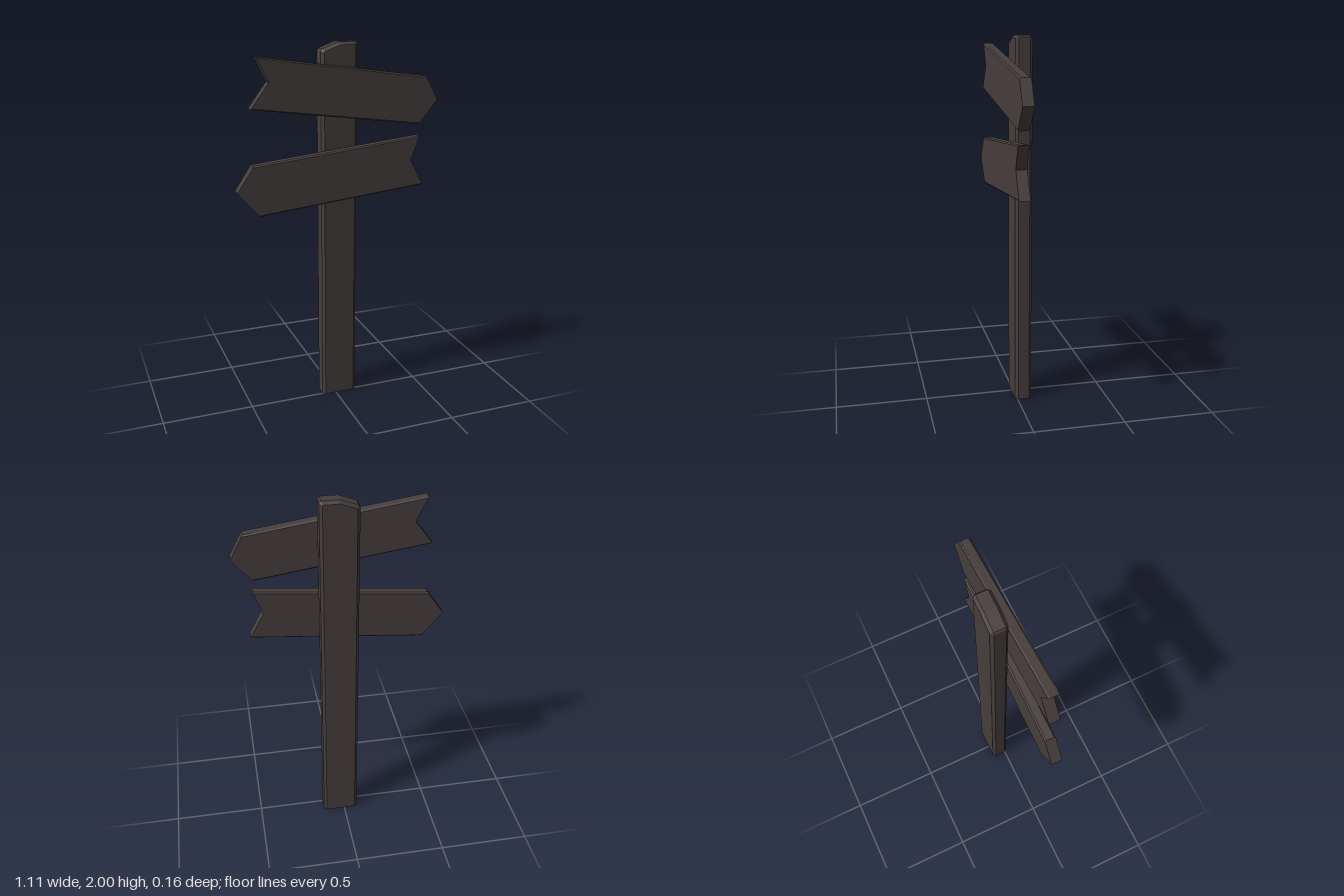
import * as THREE from 'three';

const darkWood = new THREE.MeshStandardMaterial({ color: 0x463e3d });

// Chamfered slab cut from an outline, centred on z = 0
function slab(points, thickness, chamfer) {
  const shape = new THREE.Shape(points.map(([x, y]) => new THREE.Vector2(x, y)));
  const geo = new THREE.ExtrudeGeometry(shape, {
    depth: thickness - 2 * chamfer, bevelEnabled: true, bevelSegments: 1,
    bevelSize: chamfer, bevelOffset: -chamfer, bevelThickness: chamfer,
  });
  return geo.translate(0, 0, chamfer - thickness / 2);
}

// Move each vertex by a rule, then restore the flat normals
function reshape(geo, rule) {
  const p = geo.attributes.position;
  const v = new THREE.Vector3();
  for (let i = 0; i < p.count; i++) {
    rule(v.fromBufferAttribute(p, i));
    p.setXYZ(i, v.x, v.y, v.z);
  }
  geo.computeVertexNormals();
  return geo;
}

// Arrow board pointing to +x, notched at its tail; only the long edges are chamfered
function arrowBoard(name, { half, h, tip, notch }) {
  const mid = 0.012;
  const geo = slab([
    [-half, -h], [half, -h], [half + tip, mid], [half, h], [-half, h], [-half + notch, mid],
  ], 0.058, 0.008);
  reshape(geo, (v) => {
    const k = v.y > mid ? (v.y - mid) / (h - mid) : (mid - v.y) / (h + mid);
    v.x = v.x > 0 ? half + tip * (1 - k) : -half + notch * (1 - k);
  });
  const mesh = new THREE.Mesh(geo, darkWood);
  mesh.name = name;
  return mesh;
}

export function createModel() {
  const model = new THREE.Group();
  model.name = 'signpost';

  // Post with a sloped top and a flat foot
  const postGeo = slab([
    [-0.078, 0], [0.122, 0], [0.122, 1.99], [0.112, 2], [0.02, 2], [-0.07, 1.967], [-0.078, 1.955],
  ], 0.091, 0.015);
  reshape(postGeo, (v) => { if (v.y < 0.03) v.y = 0; });
  const post = new THREE.Mesh(postGeo, darkWood);
  post.name = 'post';
  post.position.z = -0.0335;

  // Upper board points to the model's left, lower board to its right
  const upper = arrowBoard('upperArrowBoard', { half: 0.466, h: 0.129, tip: 0.087, notch: 0.078 });
  upper.position.set(0.006, 1.7535, 0.0475);
  upper.rotation.z = -0.14;

  const lower = arrowBoard('lowerArrowBoard', { half: 0.464, h: 0.136, tip: 0.103, notch: 0.062 });
  lower.position.set(0.009, 1.3155, 0.0475);
  lower.rotation.set(0, Math.PI, -0.0977);

  model.add(post, upper, lower);
  return model;
}
